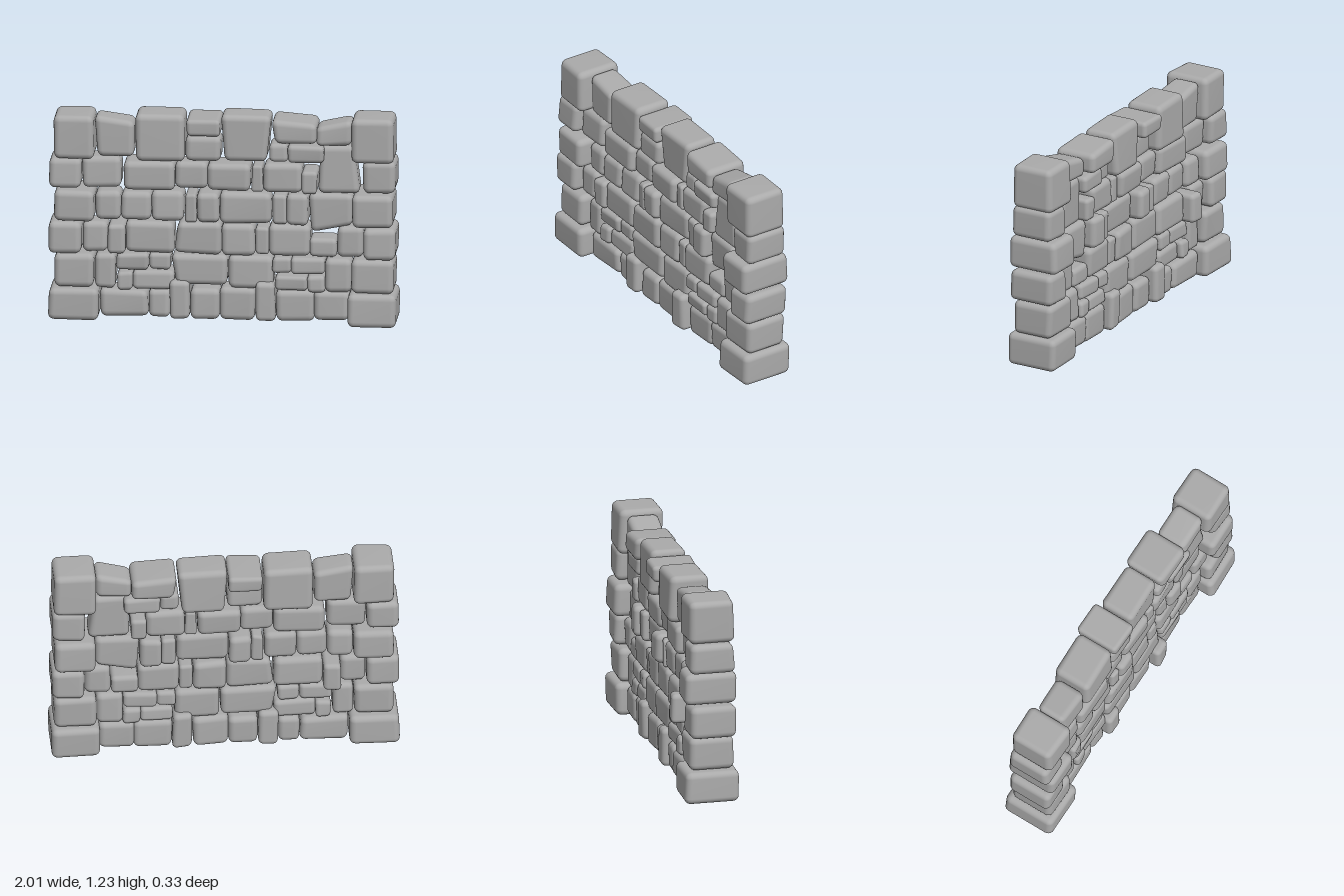
import * as THREE from 'three';
import { RoundedBoxGeometry } from 'three/addons/geometries/RoundedBoxGeometry.js';
import { mergeVertices } from 'three/addons/utils/BufferGeometryUtils.js';

// Each stone: left, right, bottom, top, front z, back z,
// then optional corner shifts (dx, dy) for bottom-left, bottom-right, top-right, top-left.
const bottomCourse = [
  [-1, -.715, .005, .195, .16, -.16],
  [-.715, -.43, .02, .18, .09, -.11, .01, 0, 0, 0, -.01, -.01, 0, 0],
  [-.43, -.305, .02, .18, .085, -.1],
  [-.305, -.19, .02, .245, .125, -.13],
  [-.19, -.02, .012, .195, .09, -.1],
  [-.02, .185, .01, .205, .095, -.1],
  [.19, .305, .02, .25, .135, -.13],
  [.305, .53, .012, .19, .09, -.1],
  [.525, .73, .02, .195, .085, -.1],
  [.72, 1, 0, .195, .16, -.16],
];
const secondCourse = [
  [-.97, -.74, .2, .395, .13, -.13],
  [-.74, -.62, .185, .39, .085, -.09],
  [-.615, -.43, .295, .395, .09, -.09],
  [-.425, -.3, .3, .395, .085, -.09],
  [-.61, -.52, .18, .285, .1, -.11],
  [-.52, -.28, .185, .295, .085, -.09],
  [-.3, .03, .215, .395, .09, -.1, .03, 0, -.01, 0, 0, 0, 0, 0],
  [.03, .29, .2, .395, .085, -.1],
  [.285, .395, .3, .395, .095, -.1],
  [.395, .585, .295, .395, .1, -.1],
  [.3, .485, .195, .285, .1, -.09],
  [.485, .59, .185, .285, .09, -.1],
  [.585, .74, .19, .39, .085, -.09],
  [.74, .985, .195, .395, .13, -.13],
];
const thirdCourse = [
  [-1, -.81, .4, .585, .14, -.13],
  [-.81, -.665, .4, .58, .09, -.09],
  [-.665, -.56, .395, .57, .105, -.16],
  [-.56, -.28, .4, .585, .085, -.1],
  [-.28, -.01, .395, .59, .1, -.1, 0, .015, 0, 0, 0, 0, .02, 0],
  [-.01, .185, .395, .58, .085, -.1],
  [.185, .265, .405, .565, .085, -.09],
  [.265, .505, .4, .585, .09, -.1],
  [.5, .66, .4, .505, .085, -.09],
  [.66, .81, .4, .58, .085, -.09],
  [.81, 1, .4, .585, .14, -.14],
];
const fourthCourse = [
  [-.97, -.74, .59, .775, .15, -.15],
  [-.735, -.59, .59, .76, .085, -.1],
  [-.585, -.41, .595, .76, .09, -.09],
  [-.41, -.225, .59, .765, .085, -.1],
  [-.22, -.15, .59, .755, .09, -.1],
  [-.15, -.02, .59, .765, .105, -.13],
  [-.02, .28, .585, .765, .08, -.08],
  [.285, .37, .59, .76, .085, -.1],
  [.37, .49, .59, .77, .11, -.13],
  [.49, .75, .56, .77, .075, -.08, .02, -.02, 0, .03, 0, 0, 0, 0],
  [.75, .985, .59, .78, .15, -.16],
];
const fifthCourse = [
  [-1, -.815, .785, .96, .13, -.13],
  [-.81, -.585, .785, .965, .09, -.09],
  [-.57, -.275, .775, .945, .1, -.11],
  [-.275, -.09, .785, .945, .085, -.09],
  [-.09, .16, .78, .94, .095, -.11],
  [.165, .23, .78, .93, .085, -.09],
  [.23, .455, .775, .945, .09, -.1],
  [.455, .545, .77, .905, .1, -.11],
  [.545, .79, .775, 1.06, .075, -.08, 0, 0, 0, 0, -.04, 0, .02, 0],
  [.81, .995, .79, .98, .125, -.13],
];
const topCourse = [
  [-.97, -.74, .96, 1.215, .135, -.13],
  [-.74, -.51, .965, 1.205, .08, -.1, .015, 0, 0, 0, 0, -.03, 0, 0],
  [-.505, -.22, .95, 1.22, .09, -.14],
  [-.21, -.015, 1.105, 1.2, .1, -.16],
  [-.22, -.01, .95, 1.1, .085, -.09],
  [-.015, .28, .95, 1.225, .075, -.135, .02, 0, -.03, 0, 0, 0, 0, 0],
  [.28, .54, 1.07, 1.21, .1, -.155, .02, 0, 0, 0, 0, -.02, 0, 0],
  [.27, .375, .96, 1.065, .085, -.1],
  [.375, .585, .955, 1.06, .11, -.12],
  [.54, .745, 1.06, 1.205, .09, -.095, 0, 0, 0, 0, 0, .01, 0, -.04],
  [.745, .985, .965, 1.23, .125, -.13],
];

// Seeded noise from -1 to 1
let seed = 7;
const noise = () => {
  seed = (seed * 16807) % 2147483647;
  return (seed / 2147483647) * 2 - 1;
};

// Rounded block whose corners are shifted by bilinear blending
function stoneGeometry([x0, x1, y0, y1, zf, zb, ...shift]) {
  const w = x1 - x0, h = y1 - y0, d = zf - zb;
  const radius = Math.min(0.036, 0.26 * Math.min(w, h));
  let geo = new RoundedBoxGeometry(w, h, d, 3, radius);
  geo.deleteAttribute('uv');
  geo.deleteAttribute('normal');
  geo = mergeVertices(geo, 1e-4);
  const corners = [0, 1, 2, 3].map((i) => ({
    x: (shift[2 * i] ?? 0) + noise() * 0.004,
    y: (shift[2 * i + 1] ?? 0) + noise() * 0.004,
    front: noise() * 0.009,
    back: noise() * 0.009,
  }));
  const p = geo.attributes.position;
  for (let i = 0; i < p.count; i++) {
    const u = p.getX(i) / w + 0.5, v = p.getY(i) / h + 0.5, t = p.getZ(i) / d + 0.5;
    const weights = [(1 - u) * (1 - v), u * (1 - v), u * v, (1 - u) * v];
    const blend = (key) => corners.reduce((sum, c, k) => sum + c[key] * weights[k], 0);
    p.setXYZ(i,
      x0 + u * w + blend('x'),
      Math.max(0, y0 + v * h + blend('y')),
      zb + t * d + blend('front') * t + blend('back') * (1 - t));
  }
  geo.computeVertexNormals();
  return geo;
}

export function createModel() {
  const model = new THREE.Group();
  model.name = 'stoneWall';
  const stone = new THREE.MeshStandardMaterial({ color: 0xaaaaaa });
  stone.name = 'grey stone';

  const courses = { bottomCourse, secondCourse, thirdCourse, fourthCourse, fifthCourse, topCourse };
  for (const [name, stones] of Object.entries(courses)) {
    const course = new THREE.Group();
    course.name = name;
    stones.forEach((spec, i) => {
      const mesh = new THREE.Mesh(stoneGeometry(spec), stone);
      const isEnd = i === 0 || i === stones.length - 1;
      mesh.name = isEnd ? 'cornerStone' : 'wallStone';
      course.add(mesh);
    });
    model.add(course);
  }
  return model;
}
